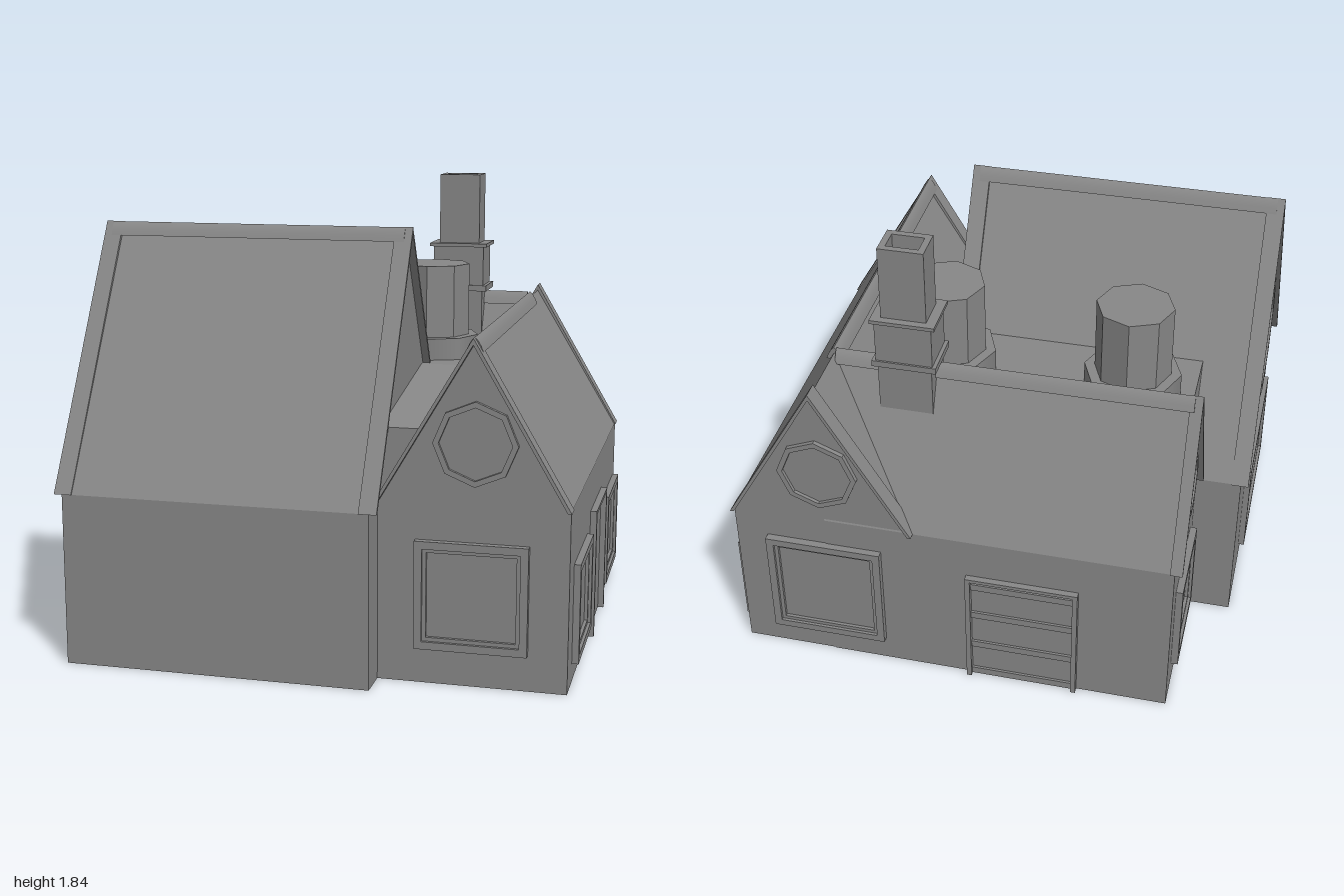
import * as THREE from 'three';
import { toCreasedNormals } from 'three/addons/utils/BufferGeometryUtils.js';

const flat = new THREE.MeshStandardMaterial({ color: 0x878787, flatShading: true });
const smooth = new THREE.MeshStandardMaterial({ color: 0x878787 });
const HALF = Math.PI / 2;

function add(parent, name, geo, x = 0, y = 0, z = 0, mat = flat) {
  const m = new THREE.Mesh(geo, mat);
  m.name = name;
  m.position.set(x, y, z);
  parent.add(m);
}

// Closed outline, optionally with one hole, extruded from z0 to z1
function prism(points, z0, z1, hole) {
  const v = (list) => list.map(([x, y]) => new THREE.Vector2(x, y));
  const shape = new THREE.Shape(v(points));
  if (hole) shape.holes.push(new THREE.Path(v(hole)));
  return new THREE.ExtrudeGeometry(shape, { depth: z1 - z0, bevelEnabled: false }).translate(0, 0, z0);
}

const rect = (w, y0, y1) => [[-w / 2, y0], [w / 2, y0], [w / 2, y1], [-w / 2, y1]];
const octagon = (r) => Array.from({ length: 8 }, (_, i) =>
  [r * Math.cos(i * Math.PI / 4), r * Math.sin(i * Math.PI / 4)]);

// Gabled wing running along its local z, with raised roof borders
function wing(parent, name, { w, eave, ridge, z0, z1, verge, trims, capStart }) {
  const g = new THREE.Group();
  g.name = name;
  parent.add(g);
  const b = w - 0.006, t = 0.015, slope = (ridge - eave) / w;
  add(g, 'wallsAndRoof', prism([[-b, 0], [b, 0], [b, eave], [0, ridge - 0.025], [-b, eave]], z0, z1));
  // Verge boards overhang the gables
  const outline = [[-w, eave], [t - w, eave], [0, ridge - t * slope], [w - t, eave], [w, eave], [0, ridge]];
  for (const end of trims) {
    const a = end < 0 ? z0 - 0.03 : z1 + 0.03 - verge;
    add(g, 'vergeBoard', prism(outline, a, a + verge));
  }
  // Rounded ridge cap
  const side = [[0.033, 0.055], [0.023, 0.031], [0.011, 0.011]];
  const cap = [
    ...side.map(([x, d]) => [x, ridge - d]),
    [0, ridge - 0.001],
    ...side.map(([x, d]) => [-x, ridge - d]).reverse(),
  ];
  add(g, 'ridgeCap', toCreasedNormals(prism(cap, capStart, z1), 1.45), 0, 0, 0, smooth);
  return g;
}

// Group for a wall fitting whose local +z points out of the wall
function fitting(parent, name, x, y, z, turn) {
  const g = new THREE.Group();
  g.name = name;
  g.position.set(x, y, z);
  g.rotation.y = turn;
  parent.add(g);
  return g;
}

function squareWindow(parent, x, y, z, turn, w, h) {
  const g = fitting(parent, 'window', x, y, z, turn);
  const r = (inset) => rect(w - 2 * inset, inset - h / 2, h / 2 - inset);
  add(g, 'outerFrame', prism(r(0), -0.01, 0.028, r(0.03)));
  add(g, 'innerFrame', prism(r(0.03), -0.01, 0.016, r(0.045)));
  add(g, 'pane', prism(r(0.045), -0.01, 0.003));
}

function gableWindow(parent, x, y, z, turn, r) {
  const g = fitting(parent, 'gableWindow', x, y, z, turn);
  add(g, 'frame', prism(octagon(r), -0.01, 0.018, octagon(r * 0.86)));
  add(g, 'pane', prism(octagon(r * 0.86), -0.01, 0.004));
}

function door(parent, x, z, turn, w, h, rails) {
  const g = fitting(parent, 'door', x, 0, z, turn);
  const a = w / 2, b = a - 0.02, top = h - 0.015;
  add(g, 'doorFrame', prism([[-a, 0], [-b, 0], [-b, top], [b, top], [b, 0], [a, 0], [a, h], [-a, h]], -0.01, 0.028));
  add(g, 'doorLeaf', prism(rect(2 * b, 0, top), -0.01, 0.004));
  for (const y of rails) add(g, 'doorRail', prism(rect(2 * b, y - 0.015, y + 0.015), 0, 0.014));
}

export function createModel() {
  const house = new THREE.Group();
  house.name = 'house';

  // Three wings; two are turned so that their ridge runs along x
  const front = wing(house, 'frontWing', {
    w: 0.597, eave: 0.68, ridge: 1.68, z0: -0.965, z1: 0.25, verge: 0.07, trims: [-1, 1], capStart: -0.965 });
  front.position.z = 0.315;
  front.rotation.y = HALF;
  const side = wing(house, 'sideWing', {
    w: 0.37, eave: 0.7, ridge: 1.33, z0: -0.875, z1: 0.77, verge: 0.07, trims: [-1, 1], capStart: -0.59 });
  side.position.x = 0.61;
  const back = wing(house, 'backWing', {
    w: 0.297, eave: 0.7, ridge: 1.33, z0: -0.785, z1: 0.6, verge: 0.048, trims: [-1], capStart: -0.785 });
  back.position.z = -0.587;
  back.rotation.y = HALF;

  // Flat deck between the roofs, and the sloping gutter running to the front
  add(house, 'flatDeck', new THREE.BoxGeometry(1.3, 1.09, 0.5), -0.1, 0.545, -0.25);
  const gutter = prism([[0, 0], [0, 1.09], [-0.72, 0.97], [-0.72, 0]], 0.1, 0.6);
  add(house, 'gutter', gutter.rotateY(HALF));

  // Octagonal roof vents
  for (const x of [-0.5, 0.245]) {
    add(house, 'ventBase', new THREE.CylinderGeometry(0.193, 0.193, 0.1, 8), x, 1.13, -0.265, smooth);
    add(house, 'ventStack', new THREE.CylinderGeometry(0.152, 0.152, 0.4, 8), x, 1.28, -0.265);
  }

  // Chimney with hollow flue
  const chimney = new THREE.Group();
  chimney.name = 'chimney';
  chimney.position.set(0.305, 0, -0.585);
  house.add(chimney);
  const block = (name, w, d, y0, y1) =>
    add(chimney, name, new THREE.BoxGeometry(w, y1 - y0, d), 0, (y0 + y1) / 2, 0);
  block('chimneyFoot', 0.21, 0.165, 1.0, 1.34);
  block('lowerBand', 0.25, 0.19, 1.335, 1.36);
  block('chimneyShaft', 0.22, 0.175, 1.36, 1.53);
  block('upperBand', 0.25, 0.195, 1.528, 1.543);
  const flue = prism(rect(0.175, -0.068, 0.068), 1.54, 1.84, rect(0.125, -0.042, 0.042));
  add(chimney, 'flue', flue.rotateX(-HALF));

  // Side wing openings
  squareWindow(house, 0.61, 0.35, 0.77, 0, 0.43, 0.42);
  gableWindow(house, 0.62, 0.935, 0.77, 0, 0.16);
  squareWindow(house, 0.61, 0.345, -0.878, Math.PI, 0.47, 0.47);
  gableWindow(house, 0.61, 0.935, -0.875, Math.PI, 0.16);
  for (const z of [0.42, -0.615]) squareWindow(house, 0.972, 0.27, z, HALF, 0.435, 0.39);
  door(house, 0.972, -0.105, HALF, 0.41, 0.53, []);

  // Back wing openings
  door(house, -0.195, -0.876, Math.PI, 0.45, 0.53, [0.02, 0.17, 0.33, 0.48]);
  squareWindow(house, -0.785, 0.325, -0.585, -HALF, 0.39, 0.39);
  gableWindow(house, -0.785, 0.89, -0.585, -HALF, 0.13);

  // Front wing gable openings
  squareWindow(house, -0.962, 0.335, 0.34, -HALF, 0.7, 0.41);
  gableWindow(house, -0.965, 0.99, 0.34, -HALF, 0.265);

  return house;
}
